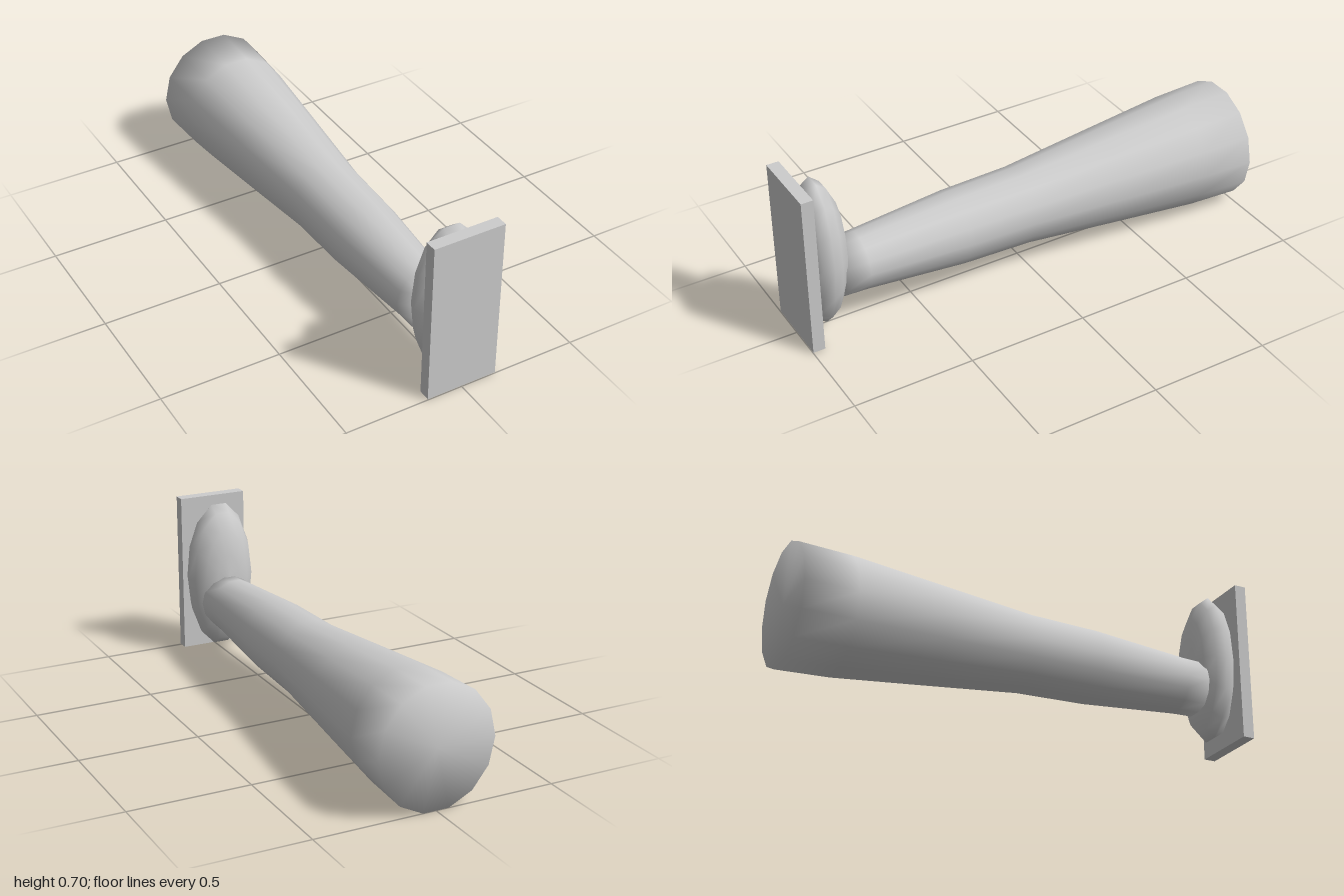
import * as THREE from 'three';

export function createModel() {
  const group = new THREE.Group();
  const grey = new THREE.MeshStandardMaterial({ color: 0xcccccc });
  grey.name = 'light grey';

  function add(name, geometry, x, y, z) {
    const mesh = new THREE.Mesh(geometry, grey);
    mesh.name = name;
    mesh.position.set(x, y, z);
    group.add(mesh);
    return mesh;
  }

  // Smooth surface of revolution along z; profile is [radius, z] from back to front
  function latheZ(profile, sides) {
    const points = profile.map(([r, z]) => new THREE.Vector2(r, z));
    return new THREE.LatheGeometry(points, sides, Math.PI / 2).rotateX(Math.PI / 2);
  }

  // Flat wall plate
  add('mountingPlate', new THREE.BoxGeometry(0.3, 0.692, 0.05), 0, 0.354, 0.975);

  // Oval cushion, flat where it meets the plate
  const cushion = add('ovalCushion', latheZ([
    [0, 0.782], [0.34, 0.788], [0.65, 0.806], [0.9, 0.845],
    [1, 0.885], [0.91, 0.928], [0.69, 0.95], [0, 0.951],
  ], 14), 0, 0.354, 0);
  cushion.scale.set(0.152, 0.33, 1);

  // Flared shaft with softly shaded closed ends
  add('flaredShaft', latheZ([
    [0, -1], [0.246, -1], [0.237, -0.78], [0.2, -0.4], [0.16, 0],
    [0.152, 0.3], [0.119, 0.72], [0.116, 0.82], [0, 0.82],
  ], 14), 0, 0.25, 0).scale.set(0.985, 1.025, 1);

  return group;
}
